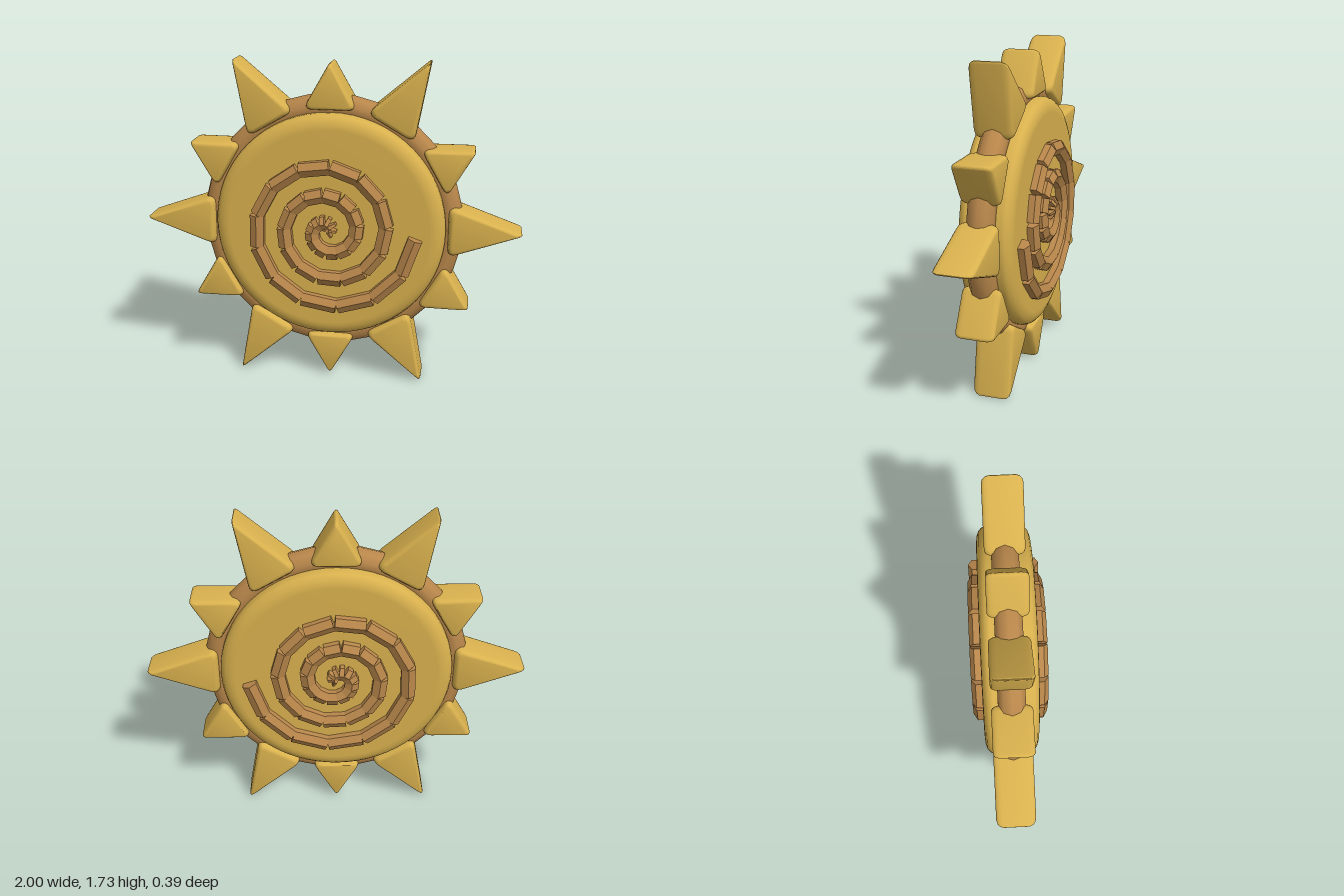
import * as THREE from 'three';
import { toCreasedNormals } from 'three/addons/utils/BufferGeometryUtils.js';

const gold = new THREE.MeshStandardMaterial({ color: 0xd9b14e });
gold.name = 'gold';
const bronze = new THREE.MeshStandardMaterial({ color: 0xb9874b });
bronze.name = 'bronze';

const CENTRE_Y = 0.866;

function add(parent, name, geometry, material) {
  const mesh = new THREE.Mesh(geometry, material);
  mesh.name = name;
  parent.add(mesh);
  return mesh;
}

// Triangle outline with each corner rounded by its own distance
function roundedTriangle(corners, cuts) {
  const shape = new THREE.Shape();
  corners.forEach((c, i) => {
    const prev = corners[(i + 2) % 3], next = corners[(i + 1) % 3];
    const a = c.clone().add(prev.clone().sub(c).setLength(cuts[i]));
    const b = c.clone().add(next.clone().sub(c).setLength(cuts[i]));
    if (i === 0) shape.moveTo(a.x, a.y);
    else shape.lineTo(a.x, a.y);
    shape.quadraticCurveTo(c.x, c.y, b.x, b.y);
  });
  shape.closePath();
  return shape;
}

// Pillow-edged spike pointing along +x
function spikeGeometry(base, tip) {
  const v = (x, y) => new THREE.Vector2(x, y);
  const shape = roundedTriangle(
    [v(base, -0.14), v(tip + 0.01, 0), v(base, 0.14)], [0.05, 0.025, 0.05]);
  const layers = [[-0.1, 0.84], [-0.094, 0.92], [-0.083, 0.97], [-0.066, 1],
    [0.066, 1], [0.083, 0.97], [0.094, 0.92], [0.1, 0.84]];
  const steps = layers.length - 1;
  const geo = new THREE.ExtrudeGeometry(shape,
    { depth: 1, steps, bevelEnabled: false, curveSegments: 5 });
  const pos = geo.attributes.position;
  const cx = base + (tip - base) / 3;
  for (let i = 0; i < pos.count; i++) {
    const [z, s] = layers[Math.round(pos.getZ(i) * steps)];
    pos.setXYZ(i, cx + (pos.getX(i) - cx) * s, pos.getY(i) * s, z);
  }
  return toCreasedNormals(geo, 0.75);
}

export function createModel() {
  const model = new THREE.Group();
  model.name = 'sunMedallion';
  const sun = new THREE.Group();
  sun.name = 'sun';
  sun.position.y = CENTRE_Y;
  model.add(sun);

  // Disc with rounded rims
  const rim = [[0.53, 0.14], [0.555, 0.137], [0.58, 0.128], [0.598, 0.112], [0.608, 0.09]];
  const profile = [[0, -0.14], ...rim.map(([r, z]) => [r, -z]),
    ...rim.slice().reverse(), [0, 0.14]].map(([r, z]) => new THREE.Vector2(r, z));
  const disc = new THREE.LatheGeometry(profile, 64);
  disc.rotateX(Math.PI / 2);
  add(sun, 'disc', disc, gold);

  // Ring around the disc
  add(sun, 'ring', new THREE.TorusGeometry(0.625, 0.07, 10, 36), bronze);

  // Alternating long and short spikes
  const longSpike = spikeGeometry(0.62, 1);
  const shortSpike = spikeGeometry(0.62, 0.855);
  for (let i = 0; i < 12; i++) {
    const long = i % 2 === 0;
    const spike = add(sun, long ? 'longSpike' : 'shortSpike', long ? longSpike : shortSpike, gold);
    spike.rotation.z = i * Math.PI / 6;
  }

  // Spiral of six-sided bars on both faces
  const count = 40, turns = 3;
  const spiralPoint = (i) => {
    const a = i / count * turns * Math.PI * 2 - 0.04;
    const r = 0.458 * i / count;
    return new THREE.Vector2(r * Math.cos(a), r * Math.sin(a));
  };
  for (const side of [1, -1]) {
    const spiral = new THREE.Group();
    spiral.name = side > 0 ? 'frontSpiral' : 'backSpiral';
    sun.add(spiral);
    for (let i = 0; i < count; i++) {
      const a = spiralPoint(i), b = spiralPoint(i + 1);
      const d = b.clone().sub(a);
      const bar = new THREE.CylinderGeometry(0.043, 0.043, d.length() * 0.96, 6).toNonIndexed();
      bar.computeVertexNormals();
      const mesh = add(spiral, 'spiralBar', bar, bronze);
      mesh.position.set((a.x + b.x) / 2, (a.y + b.y) / 2, side * 0.152);
      mesh.rotation.z = d.angle() - Math.PI / 2;
    }
  }
  return model;
}
